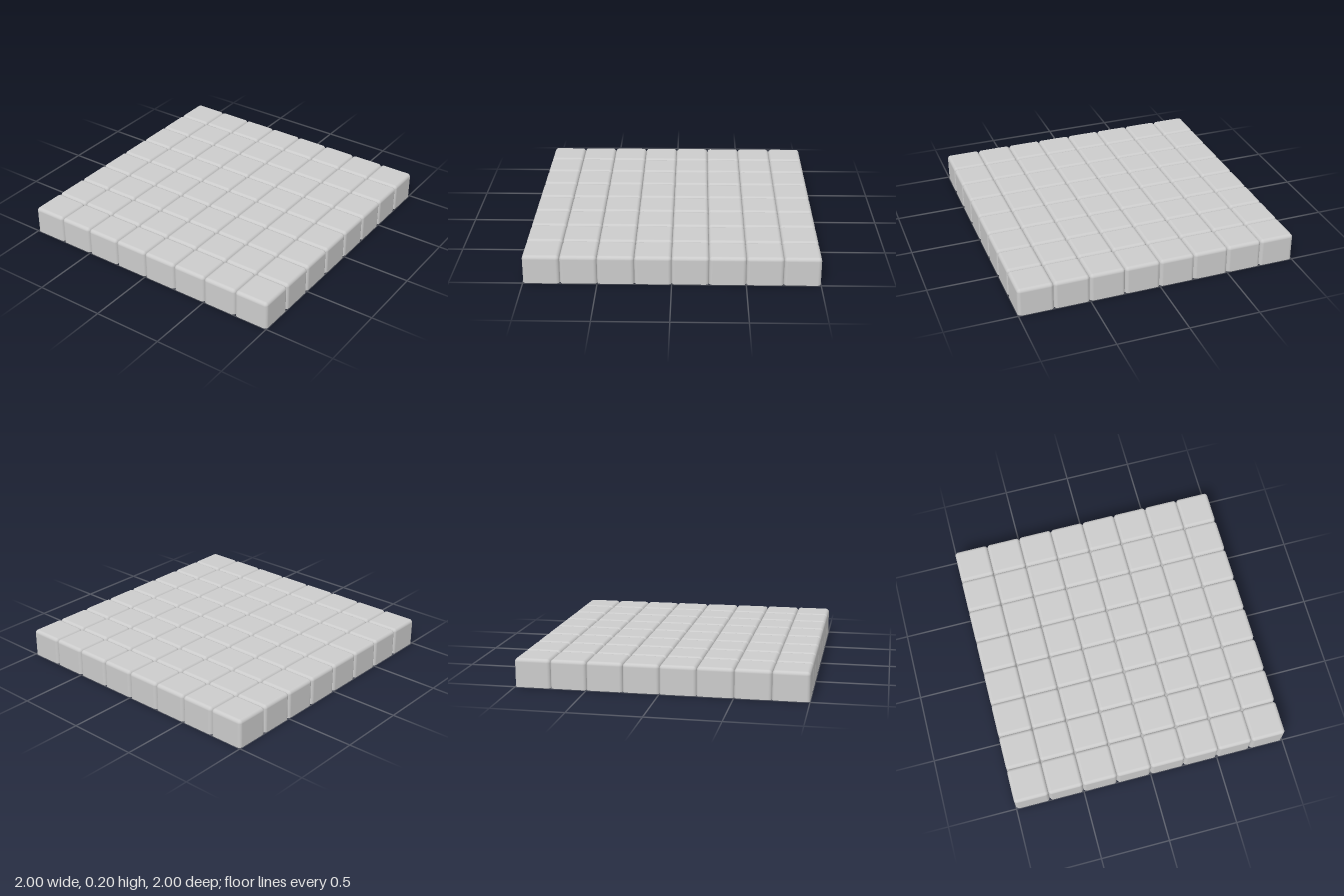
import * as THREE from 'three';

const COUNT = 8;      // tiles per side
const SIZE = 0.25;    // tile width
const HEIGHT = 0.2;
const RADIUS = 0.025; // rounding of upright and top edges
const STEPS = 5;      // segments per quarter round

// Hollow tile, open underneath: a rounded-square wall that curves into a flat top
function tileGeometry() {
  const core = SIZE / 2 - RADIUS;
  const positions = [], normals = [], indices = [];
  const perRing = 4 * (STEPS + 1);

  function addRing(baseY, elevation) {
    const c = Math.cos(elevation), s = Math.sin(elevation);
    for (let corner = 0; corner < 4; corner++) {
      const mid = (corner + 0.5) * Math.PI / 2;
      const cx = core * Math.sign(Math.cos(mid)), cz = core * Math.sign(Math.sin(mid));
      for (let k = 0; k <= STEPS; k++) {
        const a = (corner + k / STEPS) * Math.PI / 2;
        const nx = c * Math.cos(a), nz = c * Math.sin(a);
        positions.push(cx + RADIUS * nx, baseY + RADIUS * s, cz + RADIUS * nz);
        normals.push(nx, s, nz);
      }
    }
  }

  addRing(0, 0);
  for (let i = 0; i <= STEPS; i++) addRing(HEIGHT - RADIUS, (i / STEPS) * Math.PI / 2);

  // Walls and rounded shoulder
  const rings = STEPS + 2;
  for (let i = 0; i < rings - 1; i++) {
    for (let j = 0; j < perRing; j++) {
      const next = (j + 1) % perRing;
      const a = i * perRing + j, b = i * perRing + next;
      const c = a + perRing, d = b + perRing;
      indices.push(a, c, b, b, c, d);
    }
  }

  // Flat top between the four core corners
  const corners = [0, 1, 2, 3].map((q) => (rings - 1) * perRing + q * (STEPS + 1));
  indices.push(corners[0], corners[2], corners[1], corners[0], corners[3], corners[2]);

  const geometry = new THREE.BufferGeometry();
  geometry.setAttribute('position', new THREE.Float32BufferAttribute(positions, 3));
  geometry.setAttribute('normal', new THREE.Float32BufferAttribute(normals, 3));
  geometry.setIndex(indices);
  return geometry;
}

export function createModel() {
  const model = new THREE.Group();
  model.name = 'tileGrid';
  const geometry = tileGeometry();
  const material = new THREE.MeshStandardMaterial({ color: 0xcccccc, side: THREE.DoubleSide });

  // Square grid of identical tiles
  for (let row = 0; row < COUNT; row++) {
    for (let column = 0; column < COUNT; column++) {
      const tile = new THREE.Mesh(geometry, material);
      tile.name = `tileRow${row + 1}Column${column + 1}`;
      tile.position.set((column - (COUNT - 1) / 2) * SIZE, 0, (row - (COUNT - 1) / 2) * SIZE);
      model.add(tile);
    }
  }
  return model;
}
